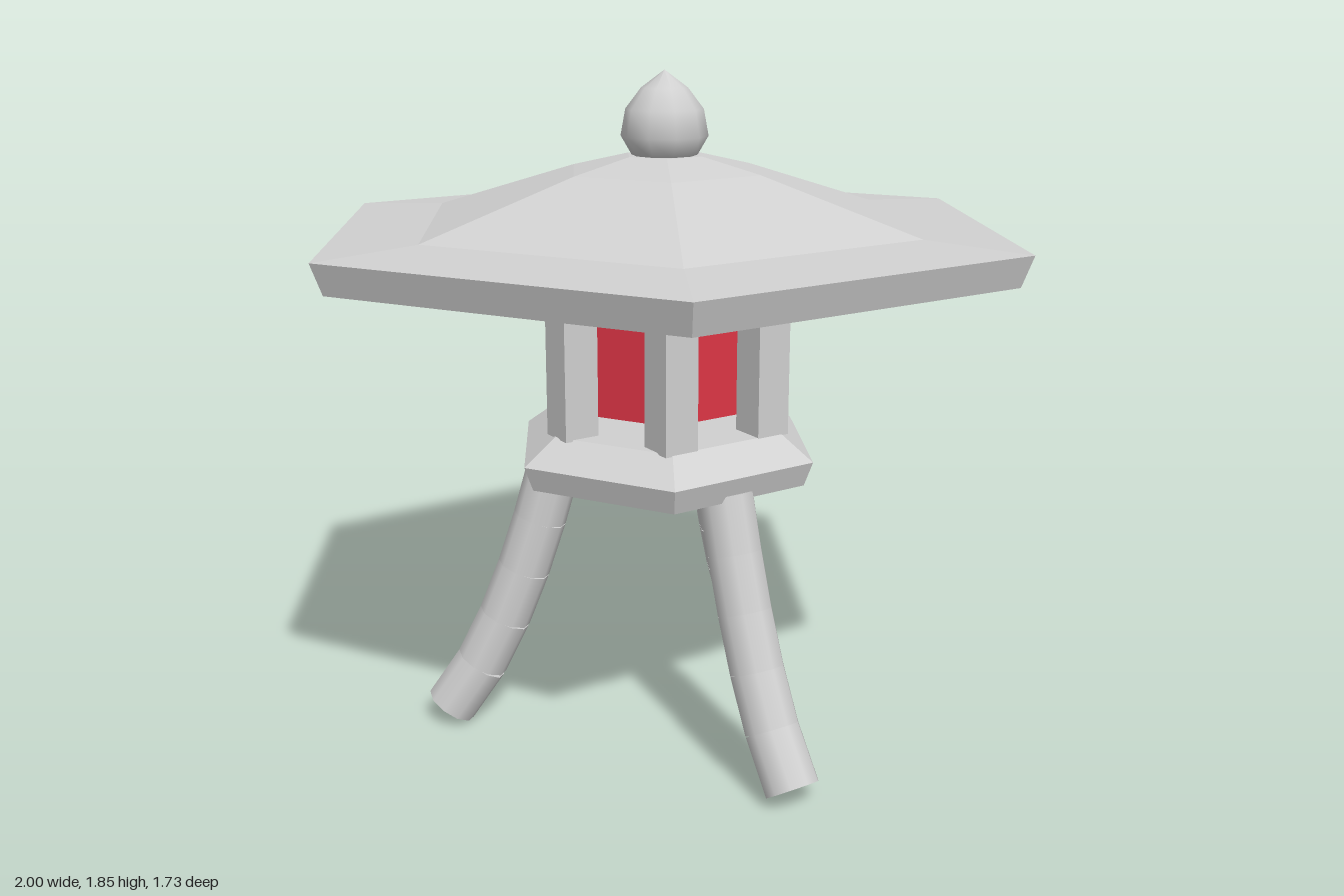
import * as THREE from 'three';

export function createModel() {
  const stone = new THREE.MeshStandardMaterial({ color: 0xd0d0d0 });
  stone.name = 'stone grey';
  const red = new THREE.MeshStandardMaterial({ color: 0xdc3545 });
  red.name = 'lamp red';

  const model = new THREE.Group();
  model.name = 'stoneLantern';

  const add = (parent, name, geometry, material) => {
    const mesh = new THREE.Mesh(geometry, material);
    mesh.name = name;
    parent.add(mesh);
    return mesh;
  };

  const lathe = (profile, sides) => new THREE.LatheGeometry(
    profile.map(([r, y]) => new THREE.Vector2(r, y)), sides, Math.PI / 2);

  // Faceted six-sided solid with corners on the x axis
  const hexSolid = (profile) => {
    const geometry = lathe(profile, 6).toNonIndexed();
    geometry.computeVertexNormals();
    return geometry;
  };

  // Roof with a flat brim and two slopes
  add(model, 'roof', hexSolid([
    [0, 1.36], [0.97, 1.36], [1, 1.442], [0.72, 1.46], [0.28, 1.595], [0.11, 1.635], [0, 1.635],
  ]), stone);

  // Pointed bud on top of the roof
  add(model, 'finial', lathe([
    [0, 1.63], [0.085, 1.63], [0.117, 1.685], [0.104, 1.755], [0.062, 1.81], [0, 1.856],
  ], 10), stone);

  // Lamp core
  add(model, 'lampCore', hexSolid([
    [0, 0.945], [0.225, 0.945], [0.225, 1.255], [0, 1.255],
  ]), red);

  // Six square pillars
  for (let i = 0; i < 6; i++) {
    const a = i * Math.PI / 3;
    const pillar = add(model, 'pillar', new THREE.BoxGeometry(0.1, 0.385, 0.1), stone);
    pillar.position.set(0.295 * Math.cos(a), 1.095, 0.295 * Math.sin(a));
  }

  // Bevelled platform
  add(model, 'platform', hexSolid([
    [0, 0.77], [0.42, 0.77], [0.445, 0.838], [0.35, 0.907], [0, 0.907],
  ]), stone);

  // Three bent legs, each a chain of straight segments flaring outwards
  const path = [[0.31, 0.772], [0.353, 0.62], [0.402, 0.47], [0.46, 0.322], [0.53, 0.18], [0.622, 0.046]]
    .map(([z, y]) => new THREE.Vector3(0, y, z));
  const up = new THREE.Vector3(0, 1, 0);
  for (let i = 0; i < 3; i++) {
    const leg = new THREE.Group();
    leg.name = 'leg';
    leg.rotation.y = i * Math.PI * 2 / 3;
    if (i === 0) leg.position.x = -0.01;
    for (let j = 0; j < path.length - 1; j++) {
      const dir = path[j].clone().sub(path[j + 1]);
      const segment = add(leg, 'legSegment',
        new THREE.CylinderGeometry(0.075, 0.075, dir.length(), 10), stone);
      segment.position.copy(path[j]).add(path[j + 1]).multiplyScalar(0.5);
      segment.quaternion.setFromUnitVectors(up, dir.normalize());
    }
    model.add(leg);
  }

  return model;
}
